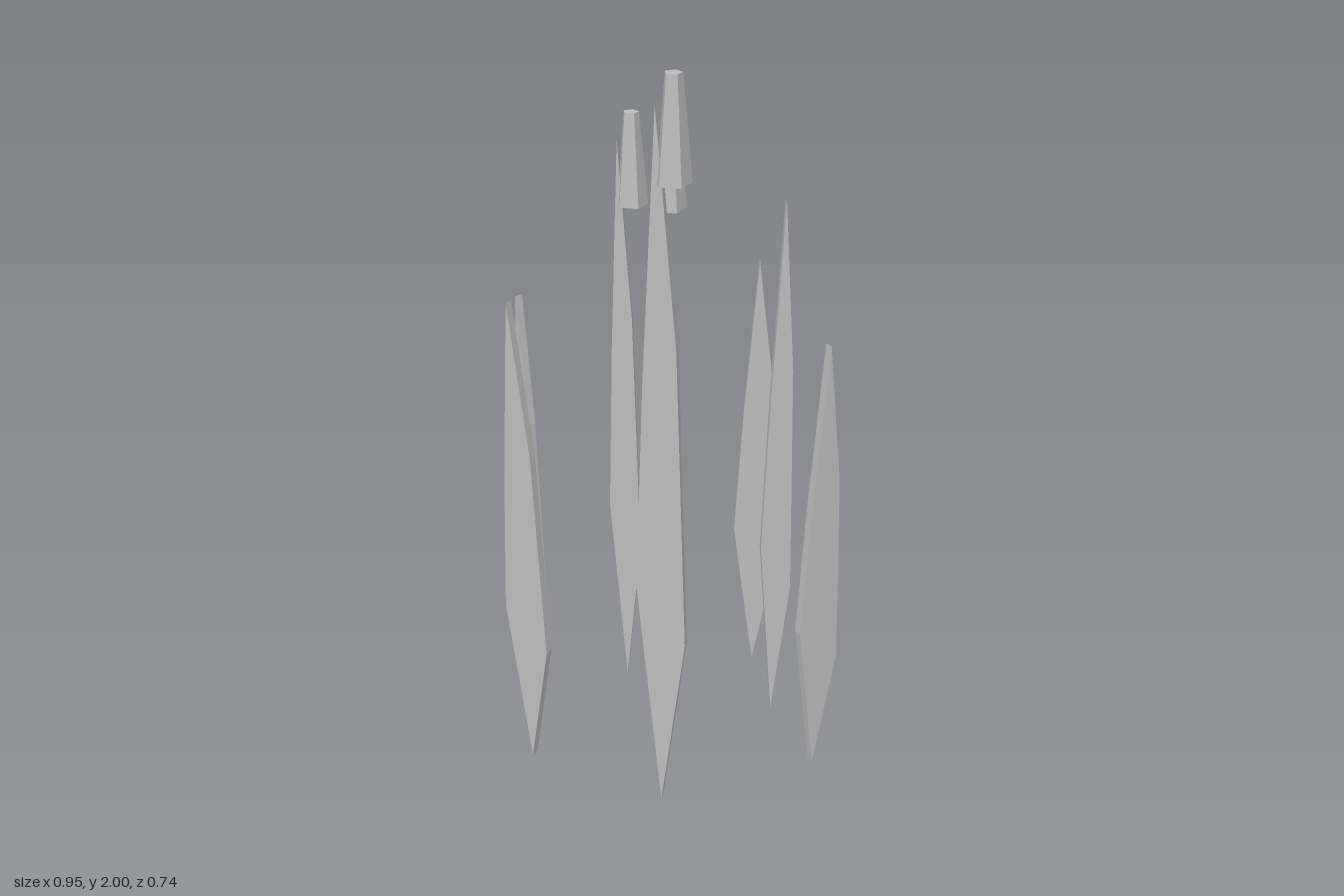
import * as THREE from 'three';

const THICK = 0.023;

// Blade outline: [across, up], as fractions of half width and height
const OUTLINE = [[0, 0], [1, 0.27], [0.62, 0.7], [-0.15, 1], [-0.68, 0.65], [-1, 0.355]];

// x, z, half width, height, turn towards +z in degrees
const BLADES = [
  [-0.436, -0.133, 0.0435, 1.25, 38],
  [-0.347, 0.224, 0.0635, 1.39, 18.5],
  [-0.171, -0.201, 0.0435, 1.68, -6],
  [-0.027, 0.012, 0.0435, 1.75, 0],
  [0.043, 0.33, 0.0635, 1.93, 3],
  [0.189, -0.347, 0.0635, 1.32, -12],
  [0.278, -0.115, 0.0435, 1.575, -17],
  [0.421, 0.1, 0.0625, 1.29, -41],
];

// x, top y, z
const SEED_HEADS = [[-0.142, 1.75, -0.204], [0, 1.824, 0.01], [0.072, 2, 0.332]];

export function createModel() {
  const model = new THREE.Group();
  model.name = 'reeds';
  const grey = new THREE.MeshStandardMaterial({ color: 0xbcbcbc, flatShading: true });
  grey.name = 'grey';

  // Flat pointed leaves
  BLADES.forEach(([x, z, half, height, turn], i) => {
    const shape = new THREE.Shape(OUTLINE.map(([u, v]) => new THREE.Vector2(u * half, v * height)));
    const geometry = new THREE.ExtrudeGeometry(shape, { depth: THICK, bevelEnabled: false });
    geometry.translate(0, 0, -THICK / 2);
    const blade = new THREE.Mesh(geometry, grey);
    blade.name = `leafBlade${i + 1}`;
    blade.position.set(x, 0, z);
    blade.rotation.y = -THREE.MathUtils.degToRad(turn);
    model.add(blade);
  });

  // Five-sided tapered seed heads
  const headHeight = 0.246;
  const headGeometry = new THREE.CylinderGeometry(0.021, 0.043, headHeight, 5);
  headGeometry.rotateY(Math.PI);
  SEED_HEADS.forEach(([x, top, z], i) => {
    const head = new THREE.Mesh(headGeometry, grey);
    head.name = `seedHead${i + 1}`;
    head.position.set(x, top - headHeight / 2, z);
    model.add(head);
  });

  return model;
}
